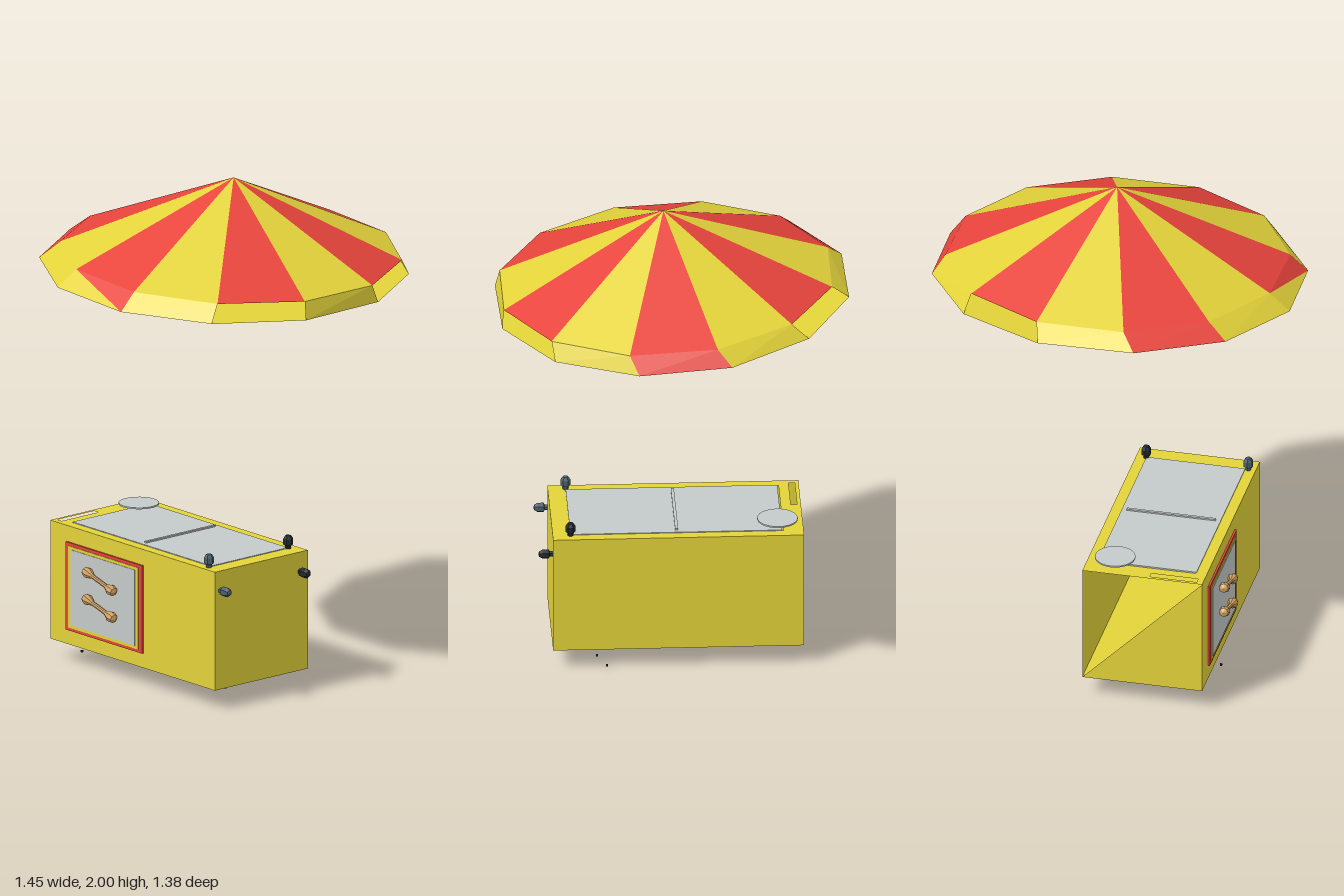
import * as THREE from 'three';

const mat = (name, color, side = THREE.FrontSide) => {
  const m = new THREE.MeshStandardMaterial({ color, side, flatShading: true });
  m.name = name;
  return m;
};

export function createModel() {
  const root = new THREE.Group();
  root.name = 'umbrellaCart';
  const yellow = mat('yellow', 0xe3d33a, THREE.DoubleSide);
  const red = mat('red', 0xe8443c, THREE.DoubleSide);
  const grey = mat('lightGrey', 0xc4cac9);
  const slate = mat('slate', 0x4c606c);
  const black = mat('black', 0x22282c);
  const tan = mat('tan', 0xd0a060);

  const add = (name, geo, material, x = 0, y = 0, z = 0, parent = root) => {
    const mesh = new THREE.Mesh(geo, material);
    mesh.name = name;
    mesh.position.set(x, y, z);
    parent.add(mesh);
    return mesh;
  };
  const box = (name, w, h, d, m, x, y, z, parent) => add(name, new THREE.BoxGeometry(w, h, d), m, x, y, z, parent);
  // flat polygon as a fan of triangles
  const face = (name, pts, m, parent) => {
    const list = [];
    for (let i = 1; i < pts.length - 1; i++) list.push(pts[0], pts[i], pts[i + 1]);
    const geo = new THREE.BufferGeometry().setFromPoints(list);
    geo.computeVertexNormals();
    return add(name, geo, m, 0, 0, 0, parent);
  };
  const v = (x, y, z) => new THREE.Vector3(x, y, z);

  // ---- canopy: twelve striped panels, tilted forward, over a flat underside
  const canopy = new THREE.Group();
  canopy.name = 'canopy';
  root.add(canopy);
  const apex = v(0.02, 2, 0.035);
  const inner = [], outer = [];
  for (let k = 0; k < 12; k++) {
    const a = (k * 30 - 15) * Math.PI / 180, b = a - 0.03;
    const zi = 0.025 + 0.67 * Math.sin(a), zo = 0.72 * Math.sin(b);
    inner.push(v(0.015 + 0.68 * Math.cos(a), 1.7 - 0.055 * zi, zi));
    outer.push(v(0.745 * Math.cos(b), 1.635 - 0.062 * zo, zo * 0.985));
  }
  const open = [2, 4, 10];
  for (let k = 0; k < 12; k++) {
    const n = (k + 1) % 12;
    face('canopyPanel', [apex, inner[n], inner[k]], k % 2 ? yellow : red, canopy);
    if (open.includes(k)) continue;
    if (k === 6) {
      face('valanceRed', [outer[k], inner[k], inner[n]], red, canopy);
      face('valanceYellow', [outer[k], inner[n], outer[n]], yellow, canopy);
    } else {
      face('valance', [inner[k], inner[n], outer[n], outer[k]], k === 0 || k === 8 ? red : yellow, canopy);
    }
  }
  face('canopyUnderside', outer, yellow, canopy);

  // ---- cart body: open box, rear wall is half a panel
  const cart = new THREE.Group();
  cart.name = 'cart';
  root.add(cart);
  const [x0, x1, y0, y1, z0, z1] = [-0.455, 0.03, 0.08, 0.565, -0.52, 0.47];
  face('frontWall', [v(x0, y0, z1), v(x1, y0, z1), v(x1, y1, z1), v(x0, y1, z1)], yellow, cart);
  face('leftWall', [v(x1, y0, z1), v(x1, y0, z0), v(x1, y1, z0), v(x1, y1, z1)], yellow, cart);
  face('rightWall', [v(x0, y0, z0), v(x0, y0, z1), v(x0, y1, z1), v(x0, y1, z0)], yellow, cart);
  face('floor', [v(x0, y0, z0), v(x1, y0, z0), v(x1, y0, z1), v(x0, y0, z1)], yellow, cart);
  face('rearWall', [v(x1, y0, z0), v(x0, y0, z0), v(x0, y1, z0)], yellow, cart);

  // worktop rim with an opening under the lids and a slot at the rear
  const rect = (path, a, b, c, d) => path.moveTo(a, b).lineTo(c, b).lineTo(c, d).lineTo(a, d).closePath();
  const rim = rect(new THREE.Shape(), x0, -z1, x1, -z0);
  rim.holes.push(rect(new THREE.Path(), -0.41, -0.4, -0.015, 0.44));
  rim.holes.push(rect(new THREE.Path(), -0.43, 0.48, -0.24, 0.505));
  const top = add('worktopRim', new THREE.ShapeGeometry(rim), yellow, 0, y1, 0, cart);
  top.rotation.x = -Math.PI / 2;

  // two lids, their divider bar and a round pan cover
  for (const z of [0.19, -0.225]) box('lid', 0.4, 0.006, 0.42, grey, -0.2125, y1, z, cart);
  box('lidBar', 0.36, 0.006, 0.012, grey, -0.2125, 0.571, -0.02, cart);
  add('panCover', new THREE.CylinderGeometry(0.08, 0.08, 0.006, 24), grey, -0.08, 0.586, -0.42, cart);

  // ---- service door on the right side
  const door = new THREE.Group();
  door.name = 'serviceDoor';
  door.position.set(x0, 0.32, -0.19);
  cart.add(door);
  box('doorFrame', 0.008, 0.36, 0.46, red, -0.004, 0, 0, door);
  box('doorTrim', 0.009, 0.335, 0.42, yellow, -0.006, 0, 0, door);
  box('doorPanel', 0.009, 0.31, 0.385, grey, -0.008, 0, 0, door);
  const grip = [[0, -0.1], [0.018, -0.09], [0.022, -0.07], [0.009, -0.04], [0.009, 0.04], [0.022, 0.07], [0.018, 0.09], [0, 0.1]]
    .map(p => new THREE.Vector2(...p));
  for (const y of [0.07, -0.04]) {
    const h = add('doorHandle', new THREE.LatheGeometry(grip, 8), tan, -0.03, y, 0, door);
    h.rotation.x = Math.PI / 2 + 0.28;
  }

  // ---- bullet-shaped knobs on the top and front
  const knob = [[0, 0], [0.012, 0], [0.012, 0.012], [0.02, 0.016], [0.02, 0.04], [0.012, 0.053], [0, 0.057]]
    .map(p => new THREE.Vector2(...p));
  for (const [x, m] of [[-0.425, slate], [-0.012, black]]) {
    add('topKnob', new THREE.LatheGeometry(knob, 6), m, x, y1, 0.4, cart);
    const f = add('frontKnob', new THREE.LatheGeometry(knob, 6), m, x, 0.485, z1, cart);
    f.rotation.x = Math.PI / 2;
  }

  // ---- tiny bolts beneath the cart
  for (const [x, y, z] of [[-0.22, 0.004, 0.26], [0.06, 0.025, 0.26], [0.08, 0.08, 0.3], [-0.48, 0.08, -0.3]])
    box('bolt', 0.008, 0.008, 0.008, black, x, y, z, cart);

  return root;
}
